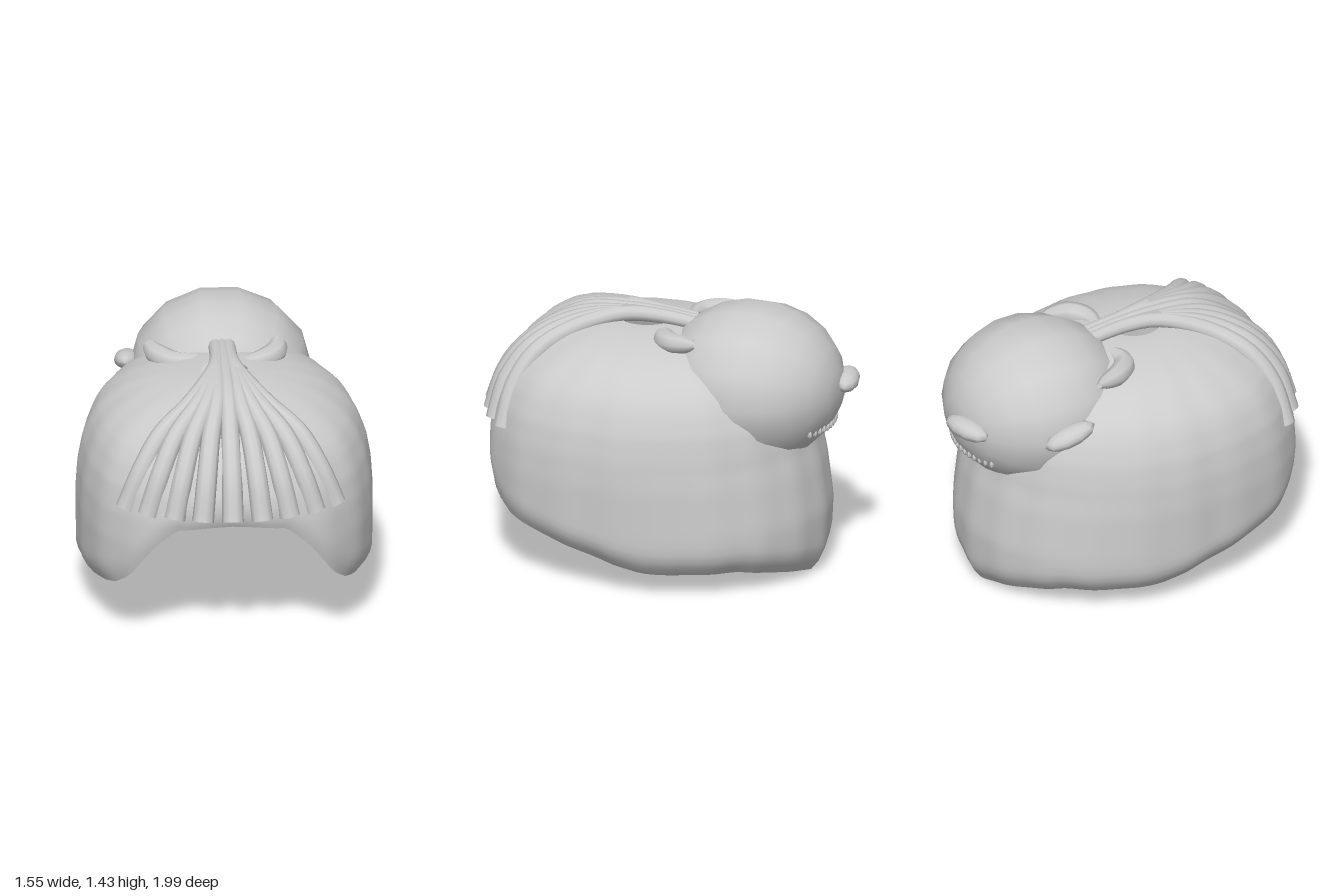
import * as THREE from 'three';

const material = new THREE.MeshStandardMaterial({ color: 0xcccccc, side: THREE.DoubleSide });

// Linear lookup in a short list of [key, value] pairs
function lookup(table, k) {
  if (k <= table[0][0]) return table[0][1];
  for (let i = 1; i < table.length; i++) {
    const [k0, v0] = table[i - 1], [k1, v1] = table[i];
    if (k <= k1) return v0 + (v1 - v0) * (k - k0) / (k1 - k0);
  }
  return table[table.length - 1][1];
}

function addMesh(parent, name, geometry) {
  const mesh = new THREE.Mesh(geometry, material);
  mesh.name = name;
  parent.add(mesh);
  return mesh;
}

// Tube along points whose radius follows a rule of u (0..1)
function taperedTube(points, radius, segments, sides) {
  const curve = new THREE.CatmullRomCurve3(points.map(p => new THREE.Vector3(...p)));
  const geometry = new THREE.TubeGeometry(curve, segments, 1, sides, false);
  const pos = geometry.attributes.position, v = new THREE.Vector3();
  for (let i = 0; i <= segments; i++) {
    const c = curve.getPointAt(i / segments), r = radius(i / segments);
    for (let j = 0; j <= sides; j++) {
      const n = i * (sides + 1) + j;
      v.fromBufferAttribute(pos, n).sub(c).multiplyScalar(r).add(c);
      pos.setXYZ(n, v.x, v.y, v.z);
    }
  }
  return geometry;
}

// Open dome: radius by depth below the crown, rim height and inward roll by angle from the front
const TOP = 1.285;
const DOME = [[0, 0.16], [0.08, 0.275], [0.158, 0.4], [0.235, 0.54], [0.32, 0.67], [0.406, 0.78],
  [0.47, 0.85], [0.534, 0.9], [0.63, 0.955], [0.73, 0.987], [0.83, 1], [0.99, 0.995], [1.13, 0.98]];
const RIM = [[0, 0.73], [0.38, 0.71], [0.45, 0.66], [0.55, 0.58], [0.7, 0.41], [0.83, 0.335],
  [1.07, 0.275], [1.57, 0.16], [1.75, 0.125], [2.4, 0.12], [2.8, 0.06], [Math.PI, 0]];
const TUCK = [[0, 0.05], [0.45, 0.03], [0.7, 0.02], [1, 0.06], [1.5, 0.09], [2.4, 0.09], [Math.PI, 0.07]];

function capGeometry() {
  const cols = 120, rows = 50, positions = [], index = [];
  for (let j = 0; j <= rows; j++) {
    for (let i = 0; i < cols; i++) {
      const a = (i / cols) * Math.PI * 2;
      const fromFront = Math.min(a, Math.PI * 2 - a);
      const rim = lookup(RIM, fromFront);
      const w = (j / rows) * Math.sqrt(TOP - rim);
      const y = TOP - w * w;
      const roll = Math.max(0, (rim + 0.14 - y) / 0.14);
      let r = lookup(DOME, w);
      // fuller front corners, and a back that leans in above the neck
      if (Math.cos(a) > 0) r += 0.09 * r * r * Math.sin(2 * a) ** 2;
      else r += 0.06 * Math.cos(a) * Math.min(1, Math.max(0, (y - 0.35) / 0.37)) * r;
      r += 0.004 * Math.cos(20 * a) * Math.min(1, w * 3) - lookup(TUCK, fromFront) * roll * roll;
      const centreZ = 0.15 - 0.08 * Math.min(1, (r - 0.16) / 0.6);
      const depth = Math.cos(a) > 0 ? 0.87 : 0.92;
      positions.push(0.773 * r * Math.sin(a), y, centreZ + depth * r * Math.cos(a));
      if (j < rows) {
        const n = (i + 1) % cols, p = j * cols, q = p + cols;
        index.push(p + i, q + i, q + n, p + i, q + n, p + n);
      }
    }
  }
  const geometry = new THREE.BufferGeometry();
  geometry.setAttribute('position', new THREE.Float32BufferAttribute(positions, 3));
  geometry.setIndex(index);
  geometry.computeVertexNormals();
  return geometry;
}

export function createModel() {
  const model = new THREE.Group();
  addMesh(model, 'cap', capGeometry());

  // Fan of nine strands, gathered on the crown and spread over the front
  const fringe = new THREE.Group();
  fringe.name = 'fringe';
  model.add(fringe);
  const ends = [[0, 0.945], [0.155, 0.93], [0.3, 0.885], [0.435, 0.82], [0.545, 0.735]];
  ends.forEach(([endX, endZ], i) => {
    for (const side of i ? [-1, 1] : [1]) {
      const x = endX * side, bunch = side * Math.min(i, 1) * 0.035;
      // outer strands reach their full depth sooner, then drop straight down
      const z = f => 0.25 + (f + 1.3 * endX * f * (1 - f)) * (endZ - 0.25);
      const path = [[bunch, 1.3, -0.13], [bunch, 1.315, 0.05], [bunch + x * 0.07, 1.315, 0.25],
        [x * 0.38, 1.285 - endX * 0.07, z(0.33)], [x * 0.66, 1.165 - endX * 0.03, z(0.62)],
        [x * 0.85, 0.985, z(0.87)], [x, 0.78, z(1)]];
      addMesh(fringe, 'strand', taperedTube(path, u => 0.036 + 0.021 * u, 24, 10));
    }
  });

  // Round, slightly flattened head sunk into the back of the cap
  const skull = addMesh(model, 'head', new THREE.SphereGeometry(1, 14, 11).rotateX(Math.PI / 2));
  skull.position.set(0.01, 1.015, -0.45);
  skull.scale.set(0.48, 0.425, 0.485);

  // Curled ears in front of the head
  const earRadius = u => 0.018 + 0.042 * Math.pow(Math.sin(Math.PI * u), 0.6);
  const earPaths = {
    leftEar: [[0.09, 1.25, -0.02], [0.19, 1.26, -0.02], [0.275, 1.27, -0.09], [0.3, 1.28, -0.24]],
    rightEar: [[-0.11, 1.25, -0.07], [-0.25, 1.245, -0.06], [-0.335, 1.25, -0.14], [-0.38, 1.25, -0.28]],
  };
  for (const [name, path] of Object.entries(earPaths)) {
    addMesh(model, name, taperedTube(path, earRadius, 14, 8));
  }

  // Leaf-shaped lids on the rear face
  const lids = [[-0.12, 1.04, -0.925, 0.27, 0], [-0.475, 1.06, -0.51, 1.45, -0.3]];
  for (const [x, y, z, yaw, roll] of lids) {
    const lid = addMesh(model, 'eyelid', new THREE.SphereGeometry(1, 10, 8));
    lid.position.set(x, y, z);
    lid.rotation.set(0, yaw, roll);
    lid.scale.set(0.145, 0.052, 0.068);
  }

  // Row of small teeth below the lids
  const teeth = new THREE.Group();
  teeth.name = 'teeth';
  model.add(teeth);
  for (let i = 0; i < 12; i++) {
    const a = -0.52 + (i / 11) * 0.98;
    const tooth = addMesh(teeth, 'tooth', new THREE.SphereGeometry(1, 6, 5));
    tooth.position.set(0.01 + 0.425 * Math.sin(a), 0.83, -0.45 - 0.43 * Math.cos(a));
    tooth.rotation.y = -a;
    tooth.scale.set(0.011, 0.024, 0.018);
  }
  return model;
}
